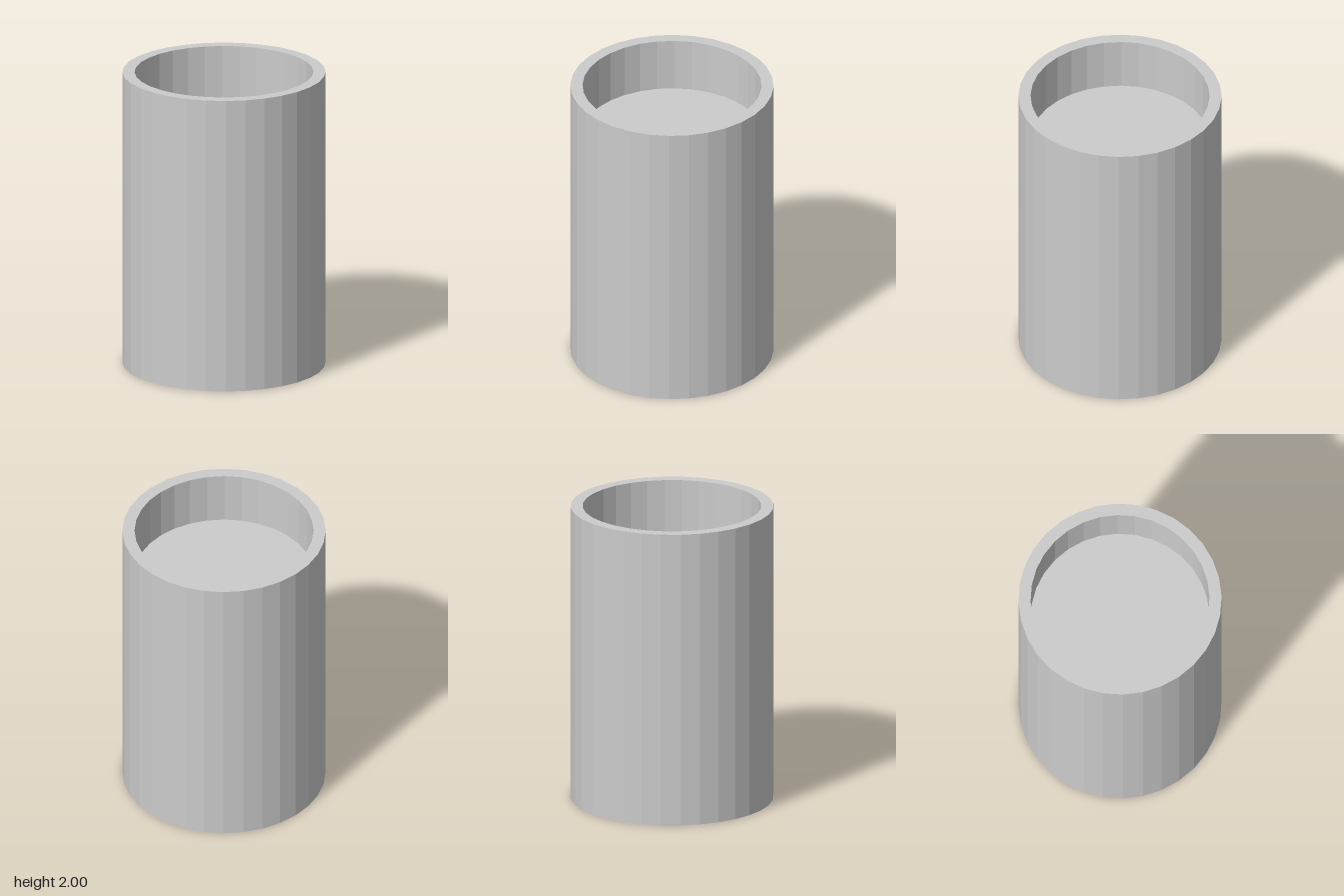
import * as THREE from 'three';

const OUTER = 0.67, INNER = 0.59, HEIGHT = 2, FLOOR = 1.64, SIDES = 32;

export function createModel() {
  const group = new THREE.Group();
  group.name = 'cylindricalContainer';
  const material = new THREE.MeshStandardMaterial({ color: 0xcccccc, flatShading: true });

  // Revolve a [radius, height] profile into a faceted part
  const addLathe = (name, profile) => {
    const points = profile.map(([r, y]) => new THREE.Vector2(r, y));
    const mesh = new THREE.Mesh(new THREE.LatheGeometry(points, SIDES), material);
    mesh.name = name;
    group.add(mesh);
  };

  // Closed base, outer wall, flat rim and inner wall
  addLathe('body', [[0, 0], [OUTER, 0], [OUTER, HEIGHT], [INNER, HEIGHT], [INNER, FLOOR]]);

  // Flat floor of the shallow recess
  addLathe('recessFloor', [[INNER, FLOOR], [0, FLOOR]]);

  return group;
}
